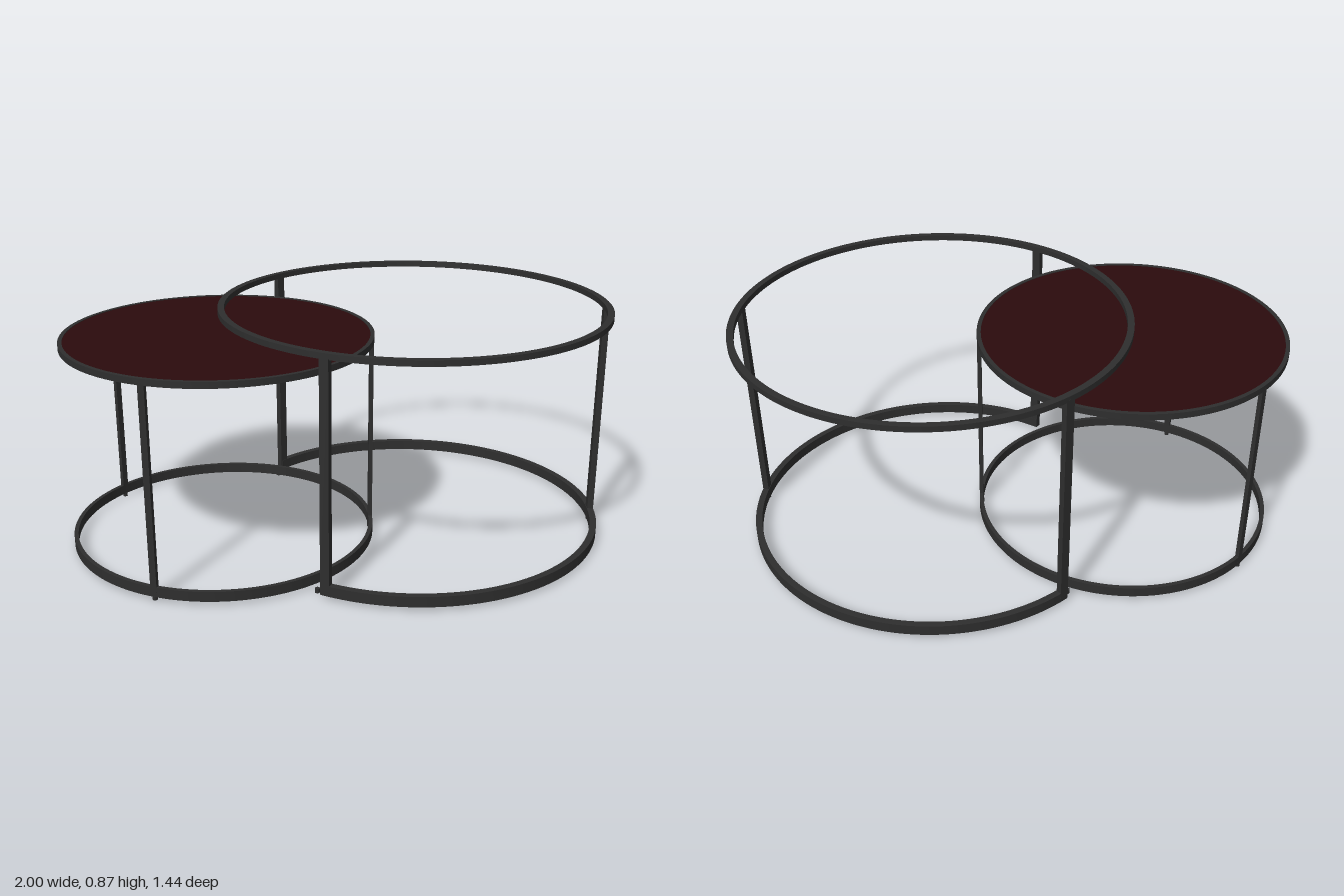
import * as THREE from 'three';
import { toCreasedNormals } from 'three/addons/utils/BufferGeometryUtils.js';

const rad = THREE.MathUtils.degToRad;

export function createModel() {
  const metal = new THREE.MeshStandardMaterial({ color: 0x2e2e2e });
  metal.name = 'dark metal';
  const wine = new THREE.MeshStandardMaterial({ color: 0x2b0b0d });
  wine.name = 'dark wine';

  const add = (parent, name, geometry, material) => {
    const mesh = new THREE.Mesh(geometry, material);
    mesh.name = name;
    parent.add(mesh);
    return mesh;
  };

  // Flat bar bent to a ring, or to an arc between two angles (degrees)
  const hoop = (parent, name, outer, width, y0, y1, from = 0, to = 360) => {
    const shape = new THREE.Shape();
    const inner = outer - width;
    if (to - from >= 360) {
      shape.absarc(0, 0, outer, 0, Math.PI * 2);
      shape.holes.push(new THREE.Path().absarc(0, 0, inner, 0, Math.PI * 2, true));
    } else {
      shape.absarc(0, 0, outer, rad(from), rad(to), false);
      shape.absarc(0, 0, inner, rad(to), rad(from), true);
      shape.closePath();
    }
    const geometry = new THREE.ExtrudeGeometry(shape, {
      depth: y1 - y0, bevelEnabled: false, curveSegments: 96,
    });
    geometry.rotateX(Math.PI / 2);
    add(parent, name, toCreasedNormals(geometry, rad(30)), metal).position.y = y1;
  };

  // Upright bars standing on the hoop, flat side facing outwards
  const legs = (parent, angles, outer, depth, width, top) => {
    for (const a of angles) {
      const leg = add(parent, 'leg', new THREE.BoxGeometry(depth, top - 0.015, width), metal);
      const r = outer - depth / 2;
      leg.position.set(r * Math.cos(rad(a)), (top + 0.015) / 2, r * Math.sin(rad(a)));
      leg.rotation.y = -rad(a);
    }
  };

  // Small round glides under the base
  const feet = (parent, angles, radius) => {
    for (const a of angles) {
      const foot = add(parent, 'foot', new THREE.CylinderGeometry(0.009, 0.009, 0.016, 16), metal);
      foot.position.set(radius * Math.cos(rad(a)), 0.008, radius * Math.sin(rad(a)));
    }
  };

  // Large open frame: its base hoop has a gap for the small table
  const large = new THREE.Group();
  large.name = 'largeTable';
  large.position.set(0.282, 0, 0);
  const largeAngles = [-130.4, 7.3, 123.7];
  hoop(large, 'largeTopRing', 0.718, 0.024, 0.852, 0.873);
  hoop(large, 'largeBaseArc', 0.718, 0.024, 0.013, 0.052, -131.5, 125);
  legs(large, largeAngles, 0.718, 0.022, 0.034, 0.86);
  feet(large, [7.3], 0.706);
  feet(large, [127.4, -134.2], 0.687);

  // Small table with an inset disc
  const small = new THREE.Group();
  small.name = 'smallTable';
  small.position.set(-0.437, 0, 0.033);
  const smallAngles = [2, 116.8, 223.5];
  hoop(small, 'smallTopRing', 0.563, 0.015, 0.768, 0.791);
  hoop(small, 'smallBaseRing', 0.563, 0.015, 0.013, 0.05);
  legs(small, smallAngles, 0.563, 0.015, 0.024, 0.775);
  feet(small, smallAngles, 0.555);
  add(small, 'tabletop', new THREE.CylinderGeometry(0.55, 0.55, 0.012, 128), wine).position.y = 0.783;

  const model = new THREE.Group();
  model.name = 'nestingTables';
  model.add(large, small);
  return model;
}
